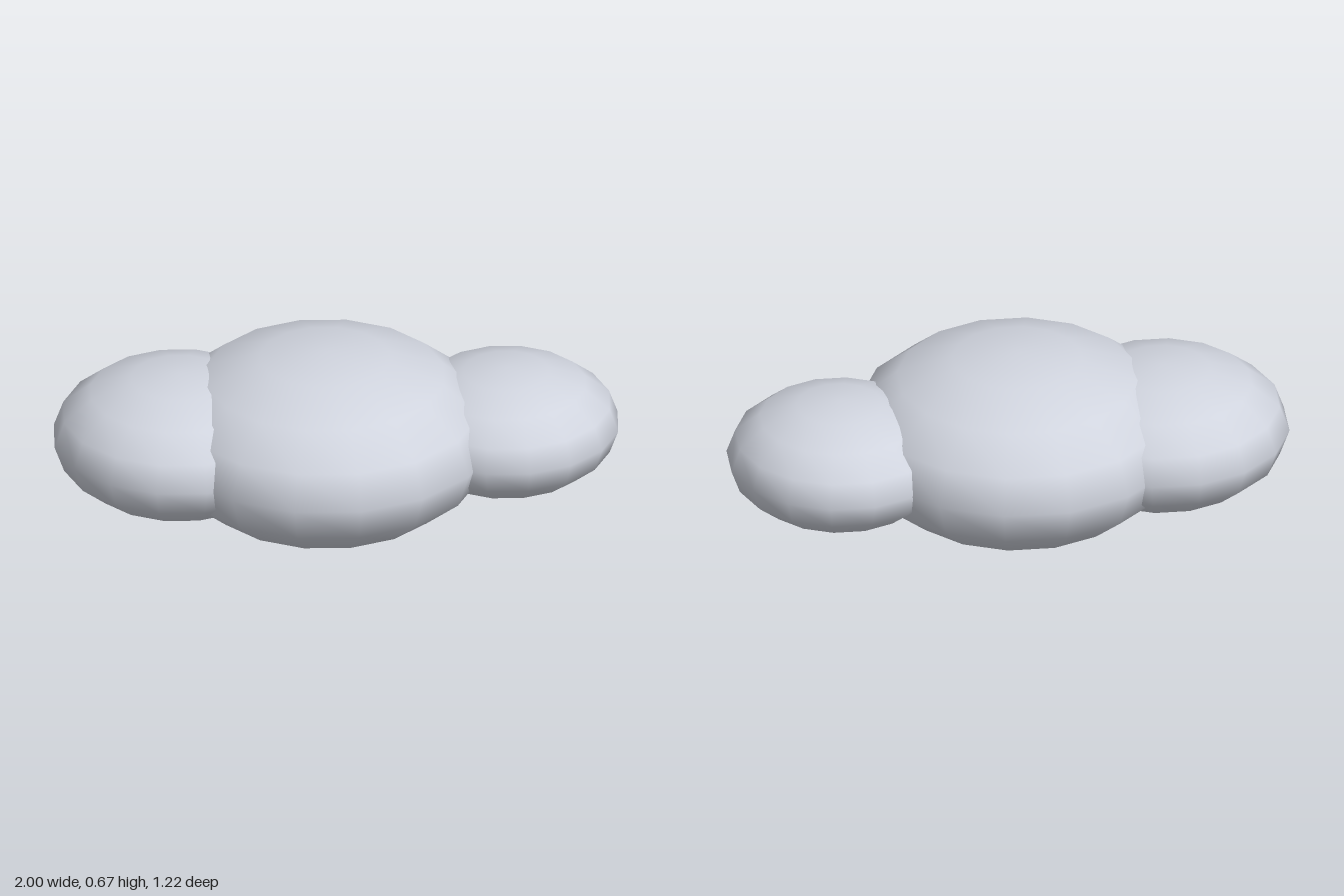
import * as THREE from 'three';

export function createModel() {
  const model = new THREE.Group();
  model.name = 'cloud';

  const cloudGrey = new THREE.MeshStandardMaterial({ color: 0xd0d4de });
  cloudGrey.name = 'cloudGrey';

  // Every puff is the same low-segment sphere, flattened vertically
  const sphere = new THREE.SphereGeometry(1, 16, 8);
  const flatness = 0.55;
  const centreY = 0.338;

  function addPuff(name, radius, x, z) {
    const puff = new THREE.Mesh(sphere, cloudGrey);
    puff.name = name;
    puff.scale.set(radius, radius * flatness, radius);
    puff.position.set(x, centreY, z);
    model.add(puff);
  }

  addPuff('mainPuff', 0.612, -0.03, 0);
  addPuff('rightPuff', 0.459, -0.541, 0.102);
  addPuff('leftPuff', 0.408, 0.592, -0.205);

  return model;
}
